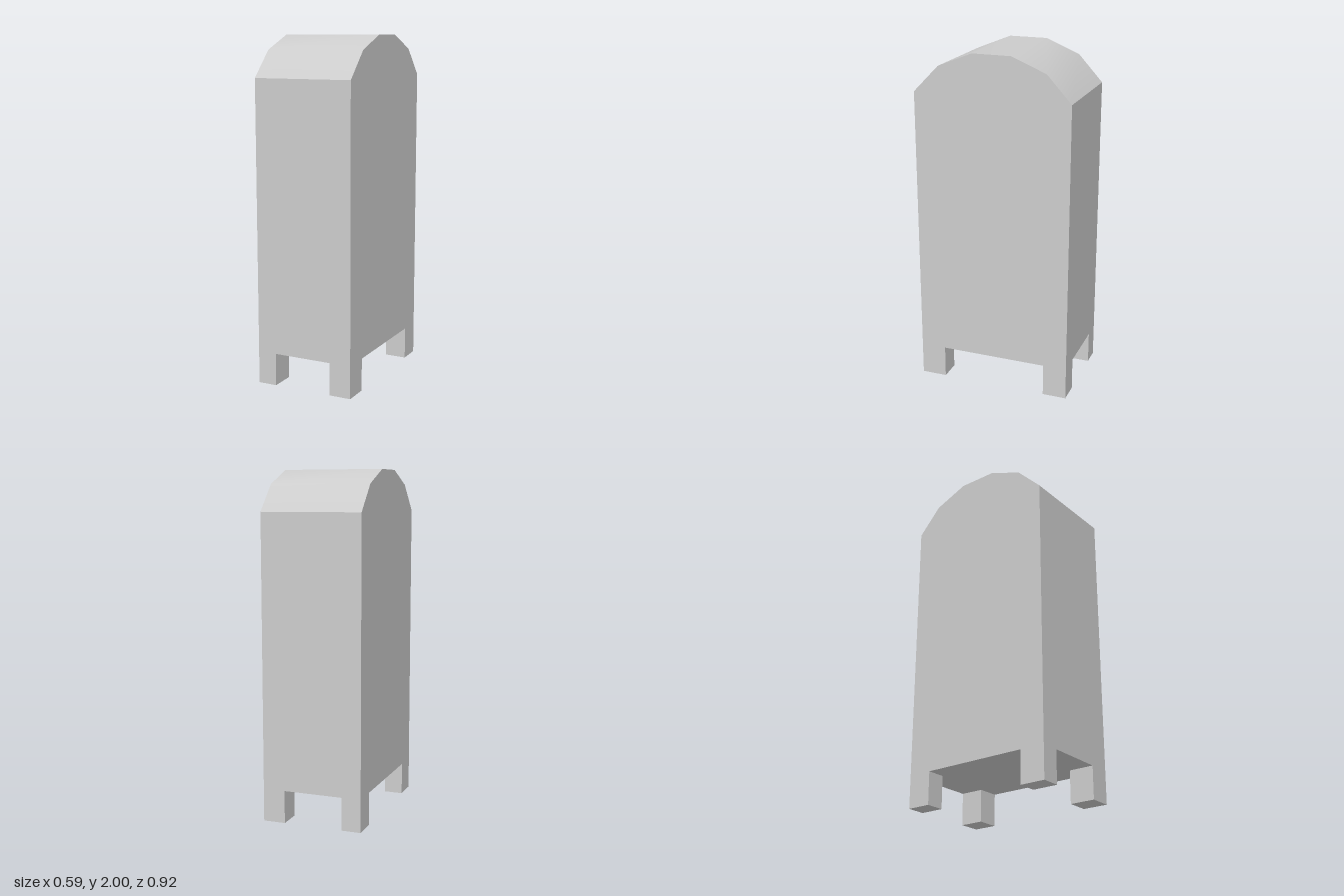
import * as THREE from 'three';
import { toCreasedNormals } from 'three/addons/utils/BufferGeometryUtils.js';

const HALF_W = 0.295; // along x
const HALF_D = 0.459; // along z
const LEG_H = 0.19;

export function createModel() {
  const group = new THREE.Group();
  const material = new THREE.MeshStandardMaterial({ color: 0xcccccc });

  const add = (geometry, name) => {
    const mesh = new THREE.Mesh(geometry, material);
    mesh.name = name;
    group.add(mesh);
    return mesh;
  };

  // Body with domed roof: side profile (z, y) extruded across the width
  const profile = new THREE.Shape([
    [-HALF_D, LEG_H], [HALF_D, LEG_H], [HALF_D, 1.765],
    [0.31, 1.918], [0.108, 2], [-0.118, 2], [-0.318, 1.918], [-HALF_D, 1.765],
  ].map(([z, y]) => new THREE.Vector2(z, y)));
  const body = new THREE.ExtrudeGeometry(profile, { depth: HALF_W * 2, bevelEnabled: false });
  body.rotateY(-Math.PI / 2).translate(HALF_W, 0, 0);
  // Smooth across the roof, sharp where it meets the walls
  add(toCreasedNormals(body, THREE.MathUtils.degToRad(32)), 'body');

  // Four corner legs, flush with the walls
  const xSpans = { Left: [0.165, HALF_W], Right: [-HALF_W, -0.183] };
  const zSpans = { front: [0.31, HALF_D], back: [-HALF_D, -0.319] };
  for (const [end, [z0, z1]] of Object.entries(zSpans)) {
    for (const [side, [x0, x1]] of Object.entries(xSpans)) {
      const leg = add(new THREE.BoxGeometry(x1 - x0, LEG_H, z1 - z0), `${end}${side}Leg`);
      leg.position.set((x0 + x1) / 2, LEG_H / 2, (z0 + z1) / 2);
    }
  }

  return group;
}
